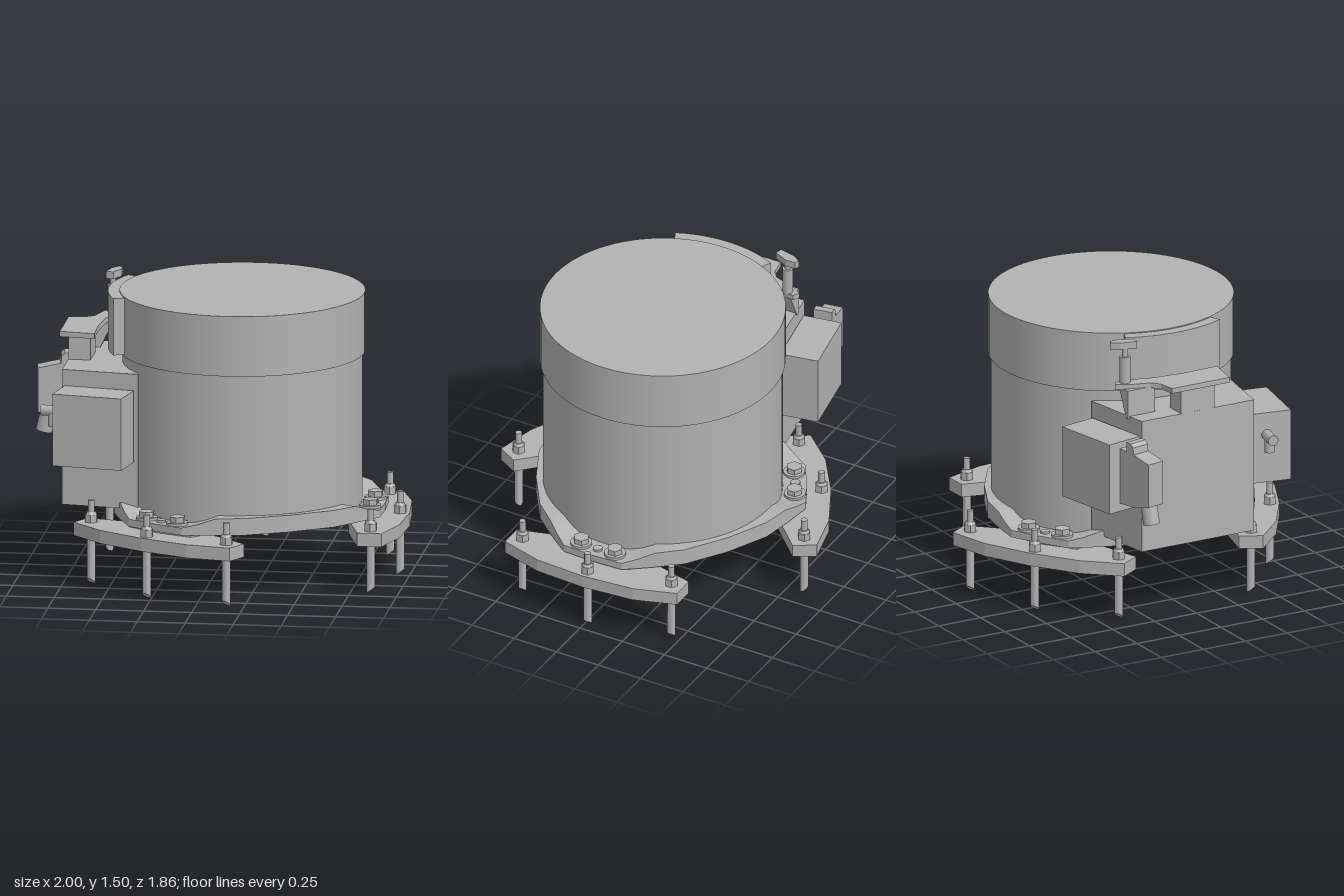
import * as THREE from 'three';
import { toCreasedNormals } from 'three/addons/utils/BufferGeometryUtils.js';

const AXIS_X = 0.13; // the drum sits off-centre

export function createModel() {
  const root = new THREE.Group();
  root.name = 'drumUnit';
  const grey = new THREE.MeshStandardMaterial({ color: 0xb2b2b2 });
  grey.name = 'machineGrey';

  function add(parent, name, geometry, x = 0, y = 0, z = 0) {
    const m = new THREE.Mesh(geometry, grey);
    m.name = name;
    m.position.set(x, y, z);
    parent.add(m);
    return m;
  }
  function group(parent, name, x, y, z, angle) {
    const g = new THREE.Group();
    g.name = name;
    g.position.set(x, y, z);
    g.rotation.y = angle;
    parent.add(g);
    return g;
  }
  const shapeOf = (pts) => new THREE.Shape(pts.map((p) => new THREE.Vector2(p[0], p[1])));
  // flat plate from an [x, z] outline between two heights
  function plate(pts, y0, y1) {
    const g = new THREE.ExtrudeGeometry(shapeOf(pts), { depth: y1 - y0, bevelEnabled: false });
    return g.rotateX(Math.PI / 2).translate(0, y1, 0);
  }
  // [x, y] profile with a thickness along z
  function slab(pts, depth, z) {
    const g = new THREE.ExtrudeGeometry(shapeOf(pts), { depth, bevelEnabled: false });
    return g.translate(0, 0, z - depth / 2);
  }
  // upright cylinder between two heights
  function post(r, y0, y1, sides = 20, rTop = r) {
    return new THREE.CylinderGeometry(rTop, r, y1 - y0, sides).translate(0, (y0 + y1) / 2, 0);
  }
  const hex = (r, y0, y1) => toCreasedNormals(post(r, y0, y1, 6), 0.5);

  // drum and its cover
  add(root, 'drum', post(0.62, 0.345, 1.18, 96), AXIS_X);
  add(root, 'cover', post(0.635, 1.172, 1.49, 96), AXIS_X);

  // base flange with three lowered lobes
  add(root, 'baseFlange', flangeGeometry(), AXIS_X);

  // lobe hardware, three times around the drum
  for (let i = 0; i < 3; i++) {
    const lobe = group(root, 'lobe', AXIS_X, 0, 0, (i * 2 * Math.PI) / 3);
    add(lobe, 'shim', plate([[0.55, -0.24], [0.7, -0.2], [0.72, 0], [0.7, 0.2], [0.55, 0.24]], 0.328, 0.346));
    add(lobe, 'locatingPin', post(0.025, 0.36, 0.394), 0.685);
    for (const s of [-1, 1]) {
      add(lobe, 'washer', post(0.056, 0.37, 0.396, 28), 0.68, 0, s * 0.1);
      add(lobe, 'flangeBolt', hex(0.042, 0.39, 0.425), 0.68, 0, s * 0.1);
    }
  }

  // anchor plates with rods and nuts
  const half = [[0.575, 0.2], [0.605, 0.32], [0.655, 0.505], [0.78, 0.505], [0.85, 0.28]];
  const outline = [...half, [0.87, 0], ...half.map(([x, z]) => [x, -z]).reverse()];
  for (const deg of [-1.1, 119.4, 238.8]) {
    const foot = group(root, 'foot', AXIS_X, 0, 0, -THREE.MathUtils.degToRad(deg));
    add(foot, 'anchorPlate', plate(outline, 0.26, 0.33));
    for (const [x, z] of [[0.717, -0.437], [0.82, 0], [0.717, 0.437]]) {
      const rod = post(0.022, 0, 0.3, 16);
      const p = rod.attributes.position;
      for (let i = 0; i < p.count; i++) {
        if (p.getY(i) < 0.01) p.setY(i, (p.getX(i) + 0.022) * 0.75); // slanted tip
      }
      rod.computeVertexNormals();
      add(foot, 'anchorRod', toCreasedNormals(rod, 0.6), x, 0, z);
      add(foot, 'rodEnd', post(0.017, 0.3, 0.445, 16), x, 0, z);
      add(foot, 'nut', hex(0.035, 0.33, 0.37), x, 0, z);
      add(foot, 'nutCollar', post(0.029, 0.37, 0.385, 16, 0.022), x, 0, z);
    }
  }

  // side cabinet
  add(root, 'cabinet', plate([[-0.765, -0.335], [-0.36, -0.4], [-0.36, 0.4], [-0.765, 0.335]], 0.4, 1.115));

  // angled junction boxes
  const boxes = [1, -1].map((s) => {
    const g = group(root, s > 0 ? 'frontJunctionBox' : 'backJunctionBox', -0.585, 0.84, s * 0.475, -s * 0.184);
    add(g, 'box', new THREE.BoxGeometry(0.375, 0.38, 0.206));
    return g;
  });

  // small elbow fitting on the front box
  const stub = add(boxes[0], 'elbowStub', new THREE.CylinderGeometry(0.028, 0.028, 0.11, 20), -0.235, 0.07, -0.03);
  stub.rotation.z = Math.PI / 2;
  add(boxes[0], 'elbowOutlet', post(0.026, -0.01, 0.07), -0.228, 0, -0.03);

  // large connector on the back box
  const plug = boxes[1];
  add(plug, 'connectorBody', slab(
    [[-0.18, -0.145], [-0.3, -0.14], [-0.415, -0.11], [-0.415, 0.125], [-0.29, 0.15], [-0.18, 0.155]], 0.1, 0.017));
  add(plug, 'connectorLatch', slab(
    [[-0.3, 0.13], [-0.292, 0.185], [-0.275, 0.203], [-0.24, 0.203], [-0.24, 0.13]], 0.1, 0.017));
  const gland = add(plug, 'cableGland', new THREE.CylinderGeometry(0.043, 0.043, 0.14, 24), -0.366, -0.15, 0.017);
  gland.rotation.z = -0.23;

  // curved collar against the cover
  const collar = [];
  for (const [r, dir] of [[0.695, 1], [0.62, -1]]) {
    for (let i = 0; i <= 20; i++) {
      const a = Math.PI + dir * (-0.42 + 0.042 * i);
      collar.push([r * Math.cos(a), r * Math.sin(a)]);
    }
  }
  add(root, 'collar', toCreasedNormals(plate(collar, 1.185, 1.485), 0.5), AXIS_X);

  // shelf bracket on the cabinet
  add(root, 'shelf', plate([
    [-0.8, -0.175], [-0.71, -0.19], [-0.67, -0.225], [-0.635, -0.34], [-0.6, -0.4], [-0.565, -0.38],
    [-0.575, -0.27], [-0.605, -0.17], [-0.62, 0], [-0.615, 0.2], [-0.8, 0.17]], 1.25, 1.278));
  add(root, 'shelfSupport', new THREE.BoxGeometry(0.115, 0.15, 0.2), -0.707, 1.18, 0);
  add(root, 'gusset', slab([[-0.665, 1.1], [-0.645, 1.1], [-0.57, 1.255], [-0.665, 1.255]], 0.16, -0.28));

  // latch post and handle
  add(root, 'latchPost', post(0.028, 1.27, 1.42), -0.59, 0, -0.335);
  add(root, 'latchStem', post(0.016, 1.41, 1.47), -0.59, 0, -0.335);
  add(root, 'latchHandle', plate([
    [-0.62, -0.28], [-0.58, -0.27], [-0.545, -0.35], [-0.548, -0.4], [-0.57, -0.412], [-0.6, -0.37]], 1.462, 1.5));

  return root;
}

// flange swept by angle: rim radius and top height vary towards each lobe
function flangeGeometry() {
  const quarter = [[0, 0.745, 0.382], [13, 0.757, 0.382], [19, 0.728, 0.4], [26, 0.705, 0.43], [39, 0.683, 0.432]];
  const ring = [];
  for (let lobe = 0; lobe < 3; lobe++) {
    const sector = [
      ...quarter.slice(1).reverse().map(([d, r, y]) => [-d, r, y]),
      ...quarter, [60, 0.655, 0.432]];
    for (const [d, r, y] of sector) ring.push([((lobe * 120 + d) * Math.PI) / 180, r, y]);
  }
  const at = ([a], r, y) => [r * Math.cos(a), y, r * Math.sin(a)];
  const pos = [];
  const quad = (a, b, c, d) => pos.push(...a, ...b, ...c, ...a, ...c, ...d);
  ring.forEach((p, i) => {
    const q = ring[(i + 1) % ring.length];
    const lo = 0.343;
    quad(at(p, p[1], lo), at(p, p[1], p[2]), at(q, q[1], q[2]), at(q, q[1], lo));
    quad(at(p, p[1], p[2]), at(p, 0.58, p[2]), at(q, 0.58, q[2]), at(q, q[1], q[2]));
    pos.push(0, lo, 0, ...at(p, p[1], lo), ...at(q, q[1], lo));
  });
  const g = new THREE.BufferGeometry();
  g.setAttribute('position', new THREE.Float32BufferAttribute(pos, 3));
  g.computeVertexNormals();
  return toCreasedNormals(g, 0.45);
}
